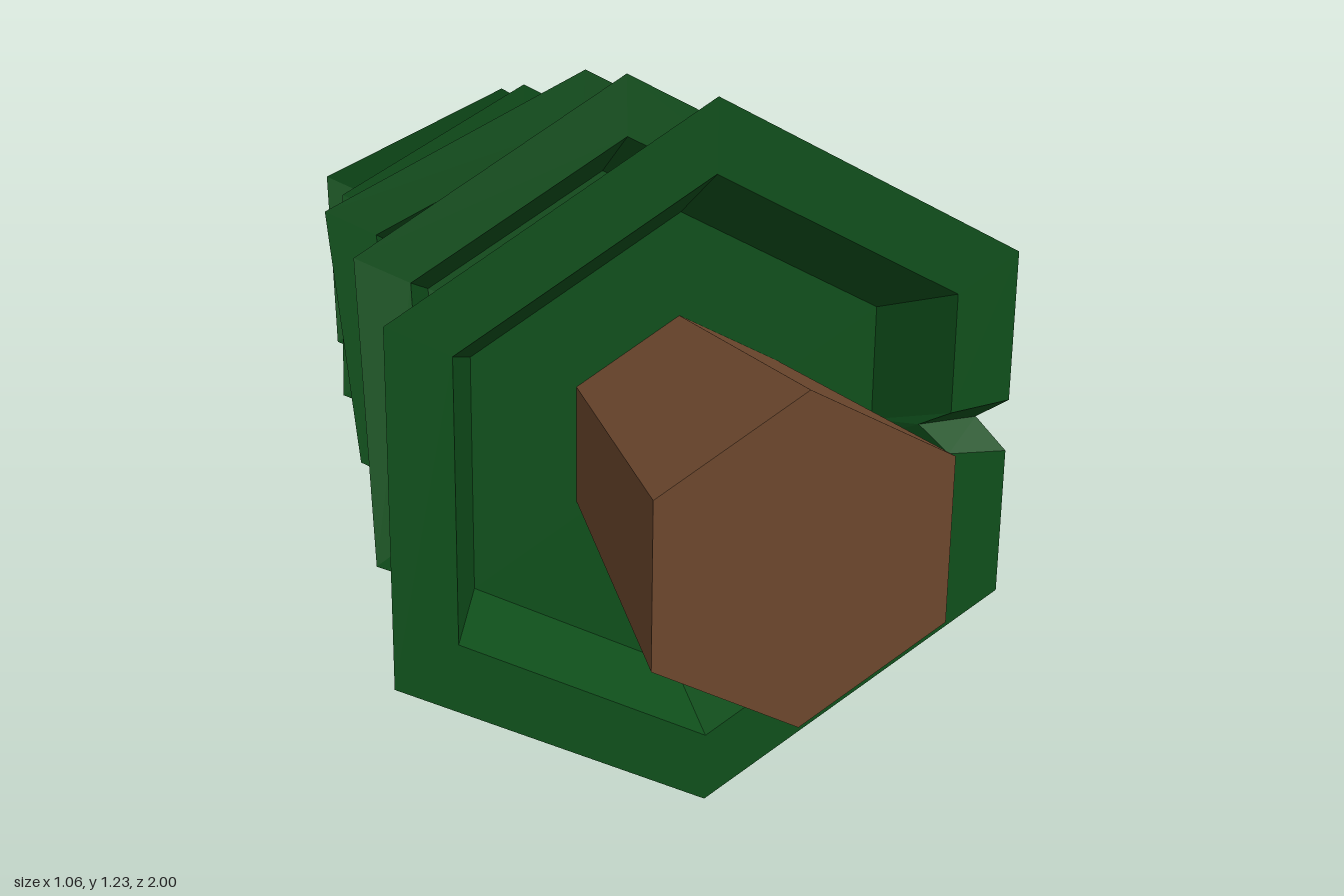
import * as THREE from 'three';

const green = new THREE.MeshStandardMaterial({ color: 0x0f4f1b, flatShading: true });
const brown = new THREE.MeshStandardMaterial({ color: 0x6c472d, flatShading: true });
const V = (x, y, z) => new THREE.Vector3(x, y, z);

// Six corners clockwise from the top, seen from the trunk end
function hexRing(x, y, z, r) {
  return Array.from({ length: 6 }, (_, i) =>
    V(x + r * Math.sin(i * Math.PI / 3), y + r * Math.cos(i * Math.PI / 3), z));
}

// Insert three points on one side of a ring, where a notch is cut
function splitEdge(ring, { edge, t, w }) {
  const a = ring[edge], b = ring[(edge + 1) % 6];
  const extra = [t - w, t, t + w].map(k => a.clone().lerp(b, k));
  return [...ring.slice(0, edge + 1), ...extra, ...ring.slice(edge + 1)];
}

// Join successive rings with quads
function skin(rings) {
  const pos = [];
  for (let k = 0; k < rings.length - 1; k++) {
    const b = rings[k], a = rings[k + 1], n = a.length;
    for (let i = 0; i < n; i++) {
      const j = (i + 1) % n;
      for (const p of [b[i], b[j], a[i], b[j], a[j], a[i]]) pos.push(p.x, p.y, p.z);
    }
  }
  const g = new THREE.BufferGeometry();
  g.setAttribute('position', new THREE.Float32BufferAttribute(pos, 3));
  g.computeVertexNormals();
  return g;
}

// A tier of branches: hollow underside, lip, tilted rim and narrow far end
function tier({ rim, end, depth, notch }) {
  const mid = rim.reduce((s, p) => s.add(p), V(0, 0, 0)).divideScalar(6);
  const inset = (f, dy, dz) => rim.map(p => mid.clone().lerp(p, f).add(V(0, dy, dz)));
  let rings = [inset(0.667, -0.025, -depth), inset(0.8, 0, 0), rim, hexRing(...end)];
  if (notch) {
    rings = rings.map(r => splitEdge(r, notch));
    const m = notch.edge + 2;
    const shift = rings[3][m].clone().sub(rings[2][m]).multiplyScalar(notch.cut);
    rings[2][m].add(shift);
    rings[1][m].add(shift);
  }
  const n = rings[0].length;
  const point = (x, y, z) => Array(n).fill(V(x, y, z));
  return skin([
    point(mid.x, mid.y - 0.025, mid.z - depth),
    ...rings,
    point(end[0], end[1], end[2]),
  ]);
}

const tiers = [
  { rim: hexRing(0, 0.617, 0.632, 0.614), end: [0, 0.61, 0.1, 0.26], depth: 0.15,
    notch: { edge: 1, t: 0.5, w: 0.075, cut: 0.1 } },
  { rim: [V(0, 1.165, 0.225), V(0.465, 0.9, 0.24), V(0.46, 0.375, 0.352),
      V(0, 0.095, 0.265), V(-0.47, 0.35, 0.28), V(-0.47, 0.88, 0.19)],
    end: [0, 0.62, -0.15, 0.26], depth: 0.13 },
  { rim: [V(0.03, 1.095, -0.075), V(0.435, 0.87, 0.02), V(0.4, 0.34, -0.045),
      V(0, 0.135, -0.035), V(-0.4, 0.37, -0.11), V(-0.445, 0.86, -0.13)],
    end: [0.03, 0.6, -0.45, 0.235], depth: 0.12,
    notch: { edge: 0, t: 0.32, w: 0.06, cut: 0.1 } },
  { rim: [V(0, 1.0, -0.35), V(0.355, 0.79, -0.4), V(0.375, 0.42, -0.31),
      V(0, 0.2, -0.37), V(-0.37, 0.4, -0.37), V(-0.35, 0.8, -0.4)],
    end: [0, 0.585, -0.65, 0.21], depth: 0.1 },
  { rim: [V(0, 0.955, -0.495), V(0.285, 0.765, -0.565), V(0.28, 0.435, -0.57),
      V(0, 0.245, -0.58), V(-0.33, 0.43, -0.58), V(-0.33, 0.77, -0.62)],
    end: [-0.025, 0.608, -1, 0.058], depth: 0.09 },
];

export function createModel() {
  const tree = new THREE.Group();
  tree.name = 'pineTree';

  // Trunk, lying along z and tapering into the lowest tier
  const trunk = new THREE.Mesh(new THREE.CylinderGeometry(0.275, 0.193, 0.6, 6).rotateX(Math.PI / 2), brown);
  trunk.name = 'trunk';
  trunk.position.set(0, 0.62, 0.7);
  tree.add(trunk);

  // Branch tiers from trunk to tip
  tiers.forEach((spec, i) => {
    const mesh = new THREE.Mesh(tier(spec), green);
    mesh.name = `branchTier${i + 1}`;
    tree.add(mesh);
  });

  // Rest the lowest rim corner on the ground
  tree.position.y = -0.003;
  return tree;
}
